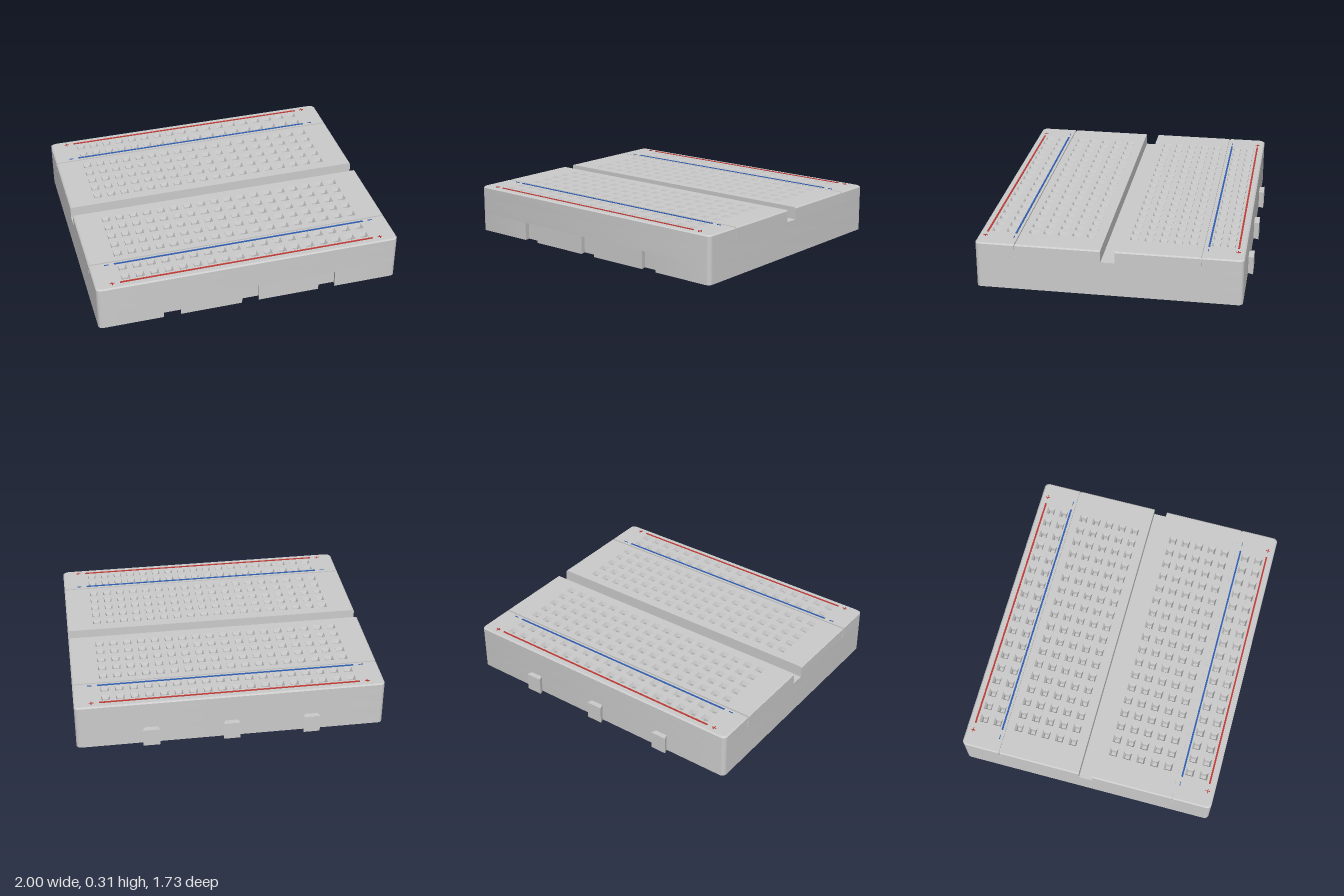
import * as THREE from 'three';
import { mergeGeometries, toCreasedNormals } from 'three/addons/utils/BufferGeometryUtils.js';

const grey = new THREE.MeshStandardMaterial({ color: 0xcccccc });
const red = new THREE.MeshStandardMaterial({ color: 0xc23a34 });
const blue = new THREE.MeshStandardMaterial({ color: 0x2f5fb3 });

const HALF = 0.849, TOP = 0.31, FLOOR = 0.23, LATCH = 0.12; // half depth and levels
const CORNER = 0.03, BEVEL = 0.008;
const PITCH = 0.0935, COLUMNS = 18, HOLE = 0.027, BORE = 0.0165;
const LATCH_X = [-0.52, 0, 0.52];

function add(parent, name, geometry, material = grey) {
  const mesh = new THREE.Mesh(geometry, material);
  mesh.name = name;
  parent.add(mesh);
  return mesh;
}

// Extrudes a plan drawn in (x, z) downwards from the level `top` to `bottom`
function slab(shape, top, bottom, steps = 1) {
  const g = new THREE.ExtrudeGeometry(shape, { depth: top - bottom, steps, bevelEnabled: false, curveSegments: 6 });
  return g.rotateX(Math.PI / 2).translate(0, top, 0);
}

// Body plan with rounded corners; optional dovetail notches along the front edge
function bodyPlan(notched) {
  const r = CORNER, s = new THREE.Shape();
  s.moveTo(-1 + r, -HALF);
  s.lineTo(1 - r, -HALF);
  s.absarc(1 - r, -HALF + r, r, -Math.PI / 2, 0);
  s.lineTo(1, HALF - r);
  s.absarc(1 - r, HALF - r, r, 0, Math.PI / 2);
  if (notched) for (const x of [...LATCH_X].reverse()) {
    s.lineTo(x + 0.056, HALF);
    s.lineTo(x + 0.066, HALF - 0.04);
    s.lineTo(x - 0.066, HALF - 0.04);
    s.lineTo(x - 0.056, HALF);
  }
  s.lineTo(-1 + r, HALF);
  s.absarc(-1 + r, HALF - r, r, Math.PI / 2, Math.PI);
  s.lineTo(-1, -HALF + r);
  s.absarc(-1 + r, -HALF + r, r, Math.PI, Math.PI * 1.5);
  return s;
}

const columnX = i => (i - (COLUMNS - 1) / 2) * PITCH;

// Perforated deck strip between z0 and z1 with a chamfered outer rim
function deck(z0, z1, rows, rounded) {
  const s = new THREE.Shape(), r = CORNER;
  s.moveTo(-1, z0);
  s.lineTo(1, z0);
  if (rounded) {
    s.lineTo(1, z1 - r);
    s.absarc(1 - r, z1 - r, r, 0, Math.PI / 2);
    s.lineTo(-1 + r, z1);
    s.absarc(-1 + r, z1 - r, r, Math.PI / 2, Math.PI);
  } else {
    s.lineTo(1, z1);
    s.lineTo(-1, z1);
  }
  s.closePath();
  for (const z of rows) for (let i = 0; i < COLUMNS; i++) {
    const x = columnX(i);
    s.holes.push(new THREE.Path([[-1, -1], [-1, 1], [1, 1], [1, -1]]
      .map(([a, b]) => new THREE.Vector2(x + a * HOLE, z + b * HOLE))));
  }
  const g = slab(s, TOP, FLOOR, 2), p = g.attributes.position;
  for (let i = 0; i < p.count; i++) {
    const x = p.getX(i), y = p.getY(i), z = p.getZ(i);
    if (y > TOP - 0.001) {
      if (Math.abs(x) > 0.96) p.setX(i, x - Math.sign(x) * BEVEL);
      if (z > HALF - r - 0.001) p.setZ(i, z - BEVEL);
    } else if (y > FLOOR + 0.001) p.setY(i, TOP - BEVEL);
  }
  return toCreasedNormals(g, 0.5);
}

// Square funnel sockets that line the deck holes
function sockets(rows) {
  const q = Math.SQRT2;
  const profile = [[HOLE * q, TOP], [BORE * q, TOP - 0.025], [BORE * q, FLOOR + 0.01], [0, FLOOR + 0.01]]
    .map(([a, b]) => new THREE.Vector2(a, b));
  const one = new THREE.LatheGeometry(profile, 4, Math.PI / 4).toNonIndexed();
  one.computeVertexNormals();
  const all = [];
  for (const z of rows) for (let i = 0; i < COLUMNS; i++) all.push(one.clone().translate(columnX(i), 0, z));
  return mergeGeometries(all);
}

// Printed bar lying on the deck
const bar = (x, z, w, d) => new THREE.BoxGeometry(w, 0.006, d).translate(x, TOP + 0.001, z);

// Everything above the channel floor on the front side of the channel
function deckHalf(name) {
  const half = new THREE.Group();
  half.name = name;
  const mainRows = [0, 1, 2, 3, 4].map(i => 0.139 + i * PITCH);
  const railRows = [0.66, 0.66 + PITCH];
  add(half, 'terminalDeck', deck(0.045, 0.585, mainRows, false));
  add(half, 'railDeck', deck(0.595, HALF, railRows, true));
  add(half, 'grooveFloor', new THREE.BoxGeometry(1.99, 0.07, 0.012).translate(0, FLOOR + 0.035, 0.59));
  add(half, 'terminalSockets', sockets(mainRows));
  add(half, 'railSockets', sockets(railRows));
  add(half, 'positiveLine', bar(0, 0.803, 1.68, 0.011), red);
  add(half, 'negativeLine', bar(0, 0.617, 1.68, 0.011), blue);
  for (const x of [-0.89, 0.89]) {
    add(half, 'positiveMark', mergeGeometries([bar(x, 0.803, 0.03, 0.004), bar(x, 0.803, 0.004, 0.03)]), red);
    add(half, 'negativeMark', bar(x, 0.617, 0.03, 0.004), blue);
  }
  return half;
}

export function createModel() {
  const model = new THREE.Group();
  model.name = 'solderlessBoard';
  const board = new THREE.Group();
  board.name = 'board';
  board.position.z = 0.0165;
  model.add(board);

  // Solid base: notched lower layer and plain layer up to the channel floor
  add(board, 'notchedBase', toCreasedNormals(slab(bodyPlan(true), LATCH, 0), 0.5));
  add(board, 'body', toCreasedNormals(slab(bodyPlan(false), FLOOR, LATCH), 0.5));

  // Mirrored decks on both sides of the central channel
  board.add(deckHalf('frontDeck'));
  const back = deckHalf('backDeck');
  back.rotation.y = Math.PI;
  board.add(back);

  // Dovetail tabs on the back edge
  for (const x of LATCH_X) {
    const tab = new THREE.Shape([[-0.042, 0], [-0.054, -0.034], [0.054, -0.034], [0.042, 0]]
      .map(([a, b]) => new THREE.Vector2(x + a, b - HALF)));
    add(board, 'latchTab', slab(tab, LATCH, 0));
  }
  return model;
}
